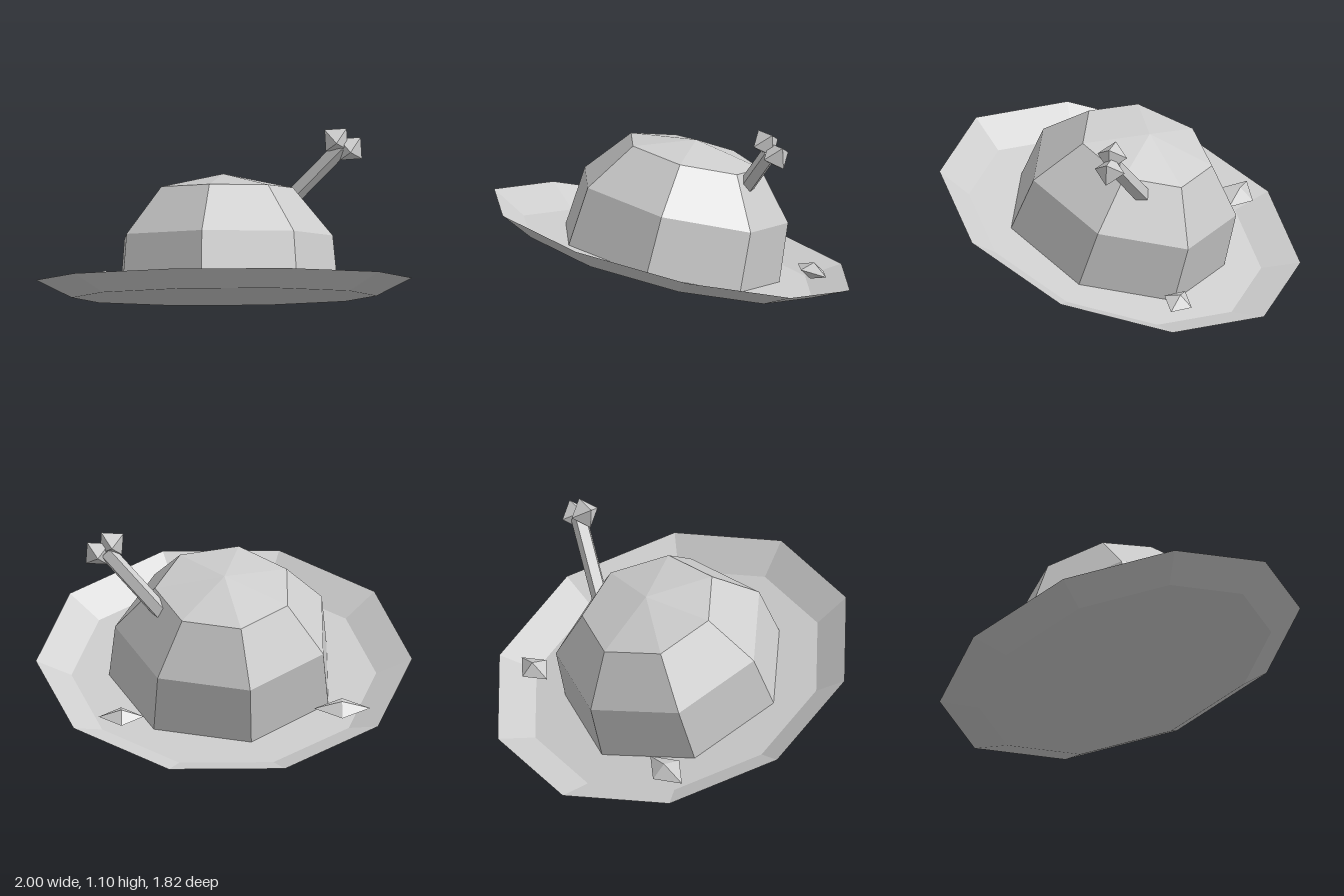
import * as THREE from 'three';

export function createModel() {
  const grey = new THREE.MeshStandardMaterial({ color: 0xcccccc, flatShading: true, side: THREE.DoubleSide });
  grey.name = 'paleGrey';

  const add = (parent, name, geometry, position = [0, 0, 0], scale = [1, 1, 1]) => {
    const mesh = new THREE.Mesh(geometry, grey);
    mesh.name = name;
    mesh.position.set(...position);
    mesh.scale.set(...scale);
    parent.add(mesh);
    return mesh;
  };
  // Faceted turned shape with its first corner on +x
  const turned = (points, sides) => new THREE.LatheGeometry(
    points.map(([r, y]) => new THREE.Vector2(r, y)), sides, Math.PI / 2);

  const model = new THREE.Group();
  model.name = 'saucer';

  // Hull: everything that shares the backward tilt
  const hull = new THREE.Group();
  hull.name = 'hull';
  hull.position.y = 0.32;
  hull.rotation.x = -0.302;
  model.add(hull);

  add(hull, 'dish', turned([[0, -0.095], [0.81, -0.095], [1, 0]], 10));
  add(hull, 'dome', turned([[0.61, -0.095], [0.58, 0.228], [0.37, 0.484], [0, 0.56]], 7));

  // Flattened diamond lights over the rear of the dish
  const diamond = new THREE.OctahedronGeometry(1);
  add(hull, 'leftLight', diamond, [0.555, 0.027, -0.524], [0.12, 0.045, 0.08]);
  add(hull, 'rightLight', diamond, [-0.62, 0.03, -0.467], [0.15, 0.045, 0.088]);

  // Slanted antenna rod
  const start = new THREE.Vector3(0.33, 0.67, -0.235);
  const end = new THREE.Vector3(0.63, 1.0, -0.17);
  const axis = end.clone().sub(start);
  const rod = add(model, 'antennaRod', new THREE.CylinderGeometry(0.046, 0.046, axis.length(), 5),
    start.clone().lerp(end, 0.5).toArray());
  rod.quaternion.setFromUnitVectors(new THREE.Vector3(0, 1, 0), axis.normalize());

  // Pair of octahedral knobs at the antenna tip
  [[0.6, 1.04, -0.155], [0.675, 0.988, -0.165]].forEach((p, i) => {
    const knob = add(model, `antennaKnob${i + 1}`, new THREE.OctahedronGeometry(0.083), p);
    knob.rotation.z = Math.PI / 4 + 0.06;
  });

  return model;
}
